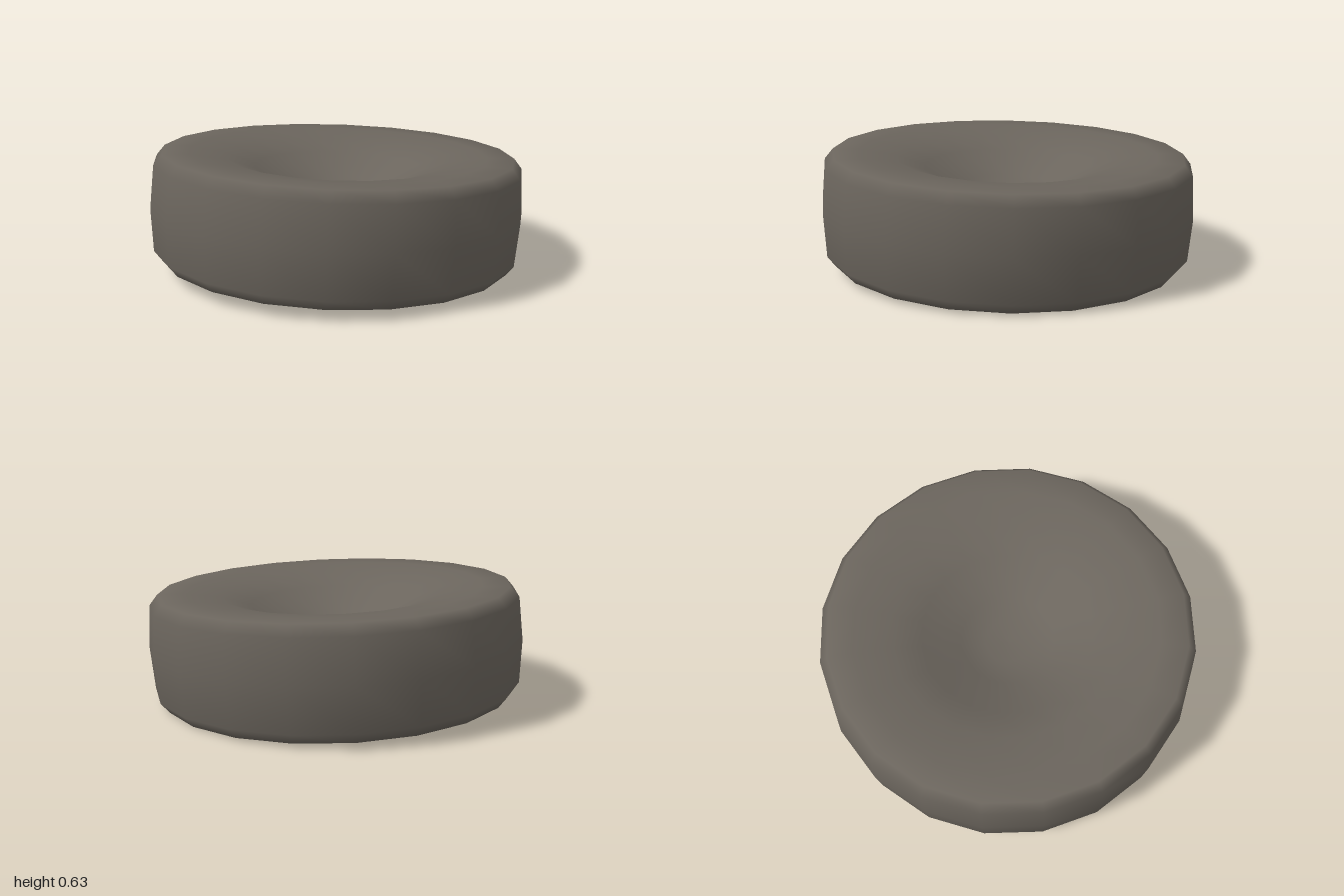
import * as THREE from 'three';

export function createModel() {
  const group = new THREE.Group();
  const stone = new THREE.MeshStandardMaterial({ color: 0x6b655d });
  stone.name = 'warm grey';

  // Upper half of the disc profile: dished centre, soft rim, bowed side
  const upper = [
    [0, 0.06], [0.12, 0.063], [0.25, 0.095], [0.45, 0.2], [0.6, 0.252],
    [0.8, 0.281], [0.94, 0.282], [0.983, 0.228],
  ];
  // Mirror it for the underside, then climb from bottom centre to top centre
  const profile = [
    ...upper.map(([r, h]) => new THREE.Vector2(r, -h)),
    new THREE.Vector2(1, 0),
    ...upper.slice().reverse().map(([r, h]) => new THREE.Vector2(r, h)),
  ];

  const disc = new THREE.Mesh(new THREE.LatheGeometry(profile, 20), stone);
  disc.name = 'dishedDisc';
  // Slight lean: higher at -x and +z
  disc.rotation.set(-0.02, 0, -0.032);
  disc.position.y = 0.32;
  group.add(disc);
  return group;
}
